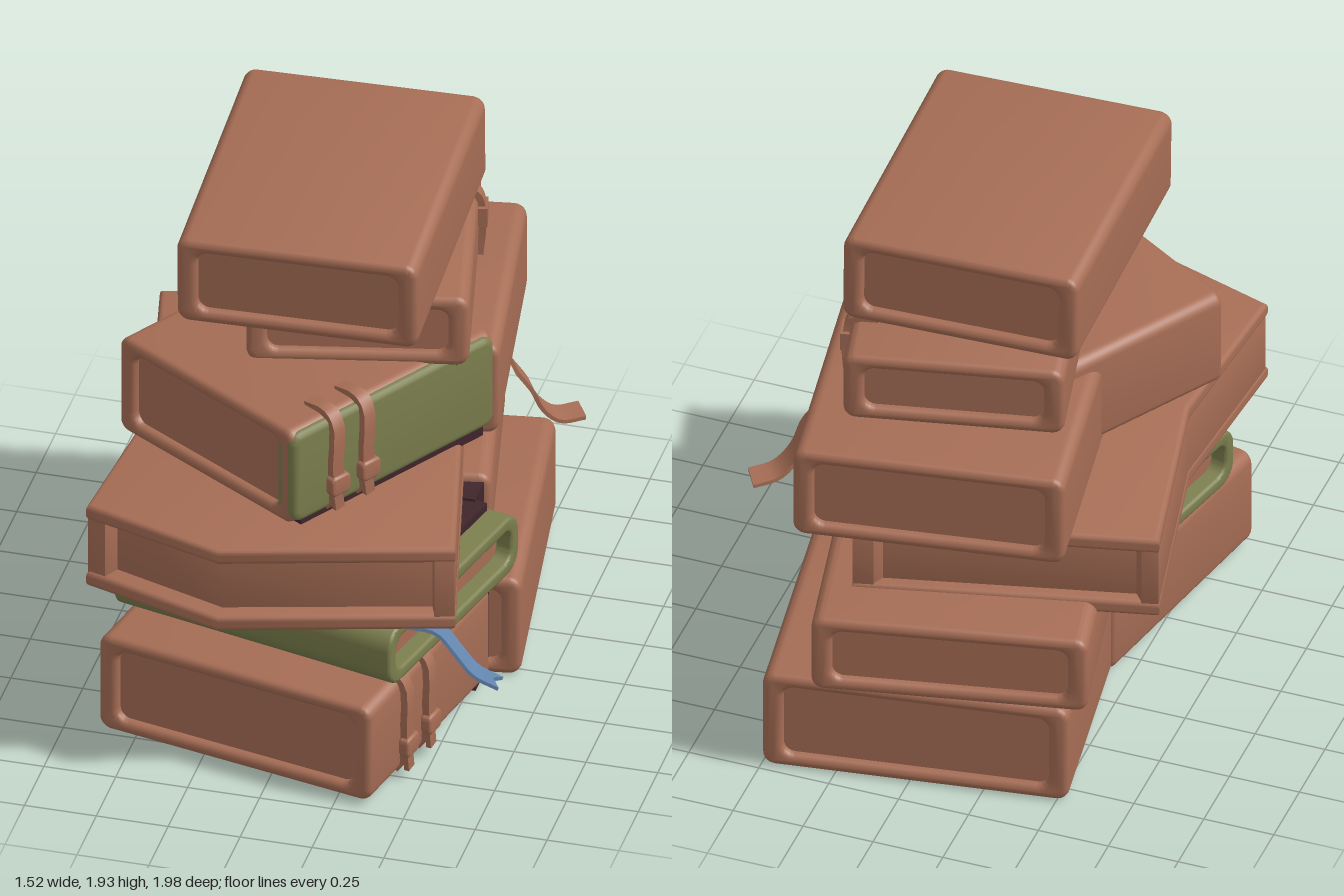
import * as THREE from 'three';
import { toCreasedNormals } from 'three/addons/utils/BufferGeometryUtils.js';

const material = (name, color) => {
  const m = new THREE.MeshStandardMaterial({ color });
  m.name = name;
  return m;
};

// Rounded rectangle outline, usable as a shape or a hole
function roundRect(Type, w, h, r) {
  const s = new Type(), x = w / 2, y = h / 2, k = Math.PI / 2;
  s.absarc(x - r, y - r, r, 0, k);
  s.absarc(-x + r, y - r, r, k, 2 * k);
  s.absarc(-x + r, -y + r, r, 2 * k, 3 * k);
  s.absarc(x - r, -y + r, r, 3 * k, 4 * k);
  s.closePath();
  return s;
}

// Bevelled extrusion that keeps its outer size and is centred on its depth
function extrude(shape, depth, bevel) {
  const g = new THREE.ExtrudeGeometry(shape, {
    depth: depth - 2 * bevel, bevelEnabled: true, bevelSize: bevel, bevelThickness: bevel,
    bevelOffset: -bevel, bevelSegments: 3, curveSegments: 5,
  });
  g.translate(0, 0, -depth / 2 + bevel);
  return toCreasedNormals(g, 0.7);
}

export function createModel() {
  const leather = material('brownLeather', 0xa66d55);
  const green = material('greenCloth', 0x7a7d4c);
  const blue = material('blueRibbon', 0x6385ad);
  const dark = material('darkGap', 0x40262b);
  const model = new THREE.Group();
  model.name = 'bookPile';

  const add = (parent, name, geo, mat, x = 0, y = 0, z = 0) => {
    const m = new THREE.Mesh(geo, mat);
    m.name = name;
    m.position.set(x, y, z);
    parent.add(m);
    return m;
  };
  const block = (parent, name, mat, w, h, d, x = 0, y = 0, z = 0) =>
    add(parent, name, new THREE.BoxGeometry(w, h, d), mat, x, y, z);

  const placed = (name, x, z, y0, y1, turn) => {
    const g = new THREE.Group();
    g.name = name;
    g.position.set(x, (y0 + y1) / 2, z);
    g.rotation.y = turn;
    model.add(g);
    return g;
  };

  // Closed leather book: a soft cover tube with sunken panels at both ends
  function book(name, x, z, w, d, y0, y1, turn) {
    const g = placed(name, x, z, y0, y1, turn), h = y1 - y0, m = 0.05;
    const shape = roundRect(THREE.Shape, w, h, 0.045);
    shape.holes.push(roundRect(THREE.Path, w - 2 * m - 0.04, h - 2 * m, 0.04));
    add(g, 'cover', extrude(shape, d, 0.022), leather);
    block(g, 'sunkenPanels', leather, w - 2 * m, h - 1.6 * m, d - 0.06);
    return g;
  }

  // Flat band swept along a curve; the tail can be notched
  function band(parent, name, mat, points, across, thick, notch = 0) {
    const n = 14;
    const curve = new THREE.CatmullRomCurve3(points.map(p => new THREE.Vector3(...p)));
    const side = new THREE.Vector3(...across);
    const geo = new THREE.BoxGeometry(1, 1, 1, 2, 1, n);
    const pos = geo.attributes.position, p = new THREE.Vector3();
    for (let i = 0; i < pos.count; i++) {
      const a = pos.getX(i), b = pos.getY(i);
      let t = pos.getZ(i) + 0.5;
      if (t > 0.99 && Math.abs(a) < 0.1) t -= notch;
      const normal = curve.getTangent(t).cross(side).normalize();
      p.copy(curve.getPoint(t)).addScaledVector(side, a).addScaledVector(normal, b * thick);
      pos.setXYZ(i, p.x, p.y, p.z);
    }
    add(parent, name, toCreasedNormals(geo, 0.7), mat);
  }

  // Pair of buckled straps around a book's right-hand face
  function straps(g, w, h, places) {
    const x = w / 2, y = h / 2;
    for (const z of places) {
      band(g, 'strap', leather, [[x - 0.12, y, z], [x - 0.03, y + 0.008, z], [x + 0.01, y - 0.03, z],
        [x + 0.02, 0, z + 0.012], [x + 0.012, -y + 0.06, z], [x - 0.02, -y + 0.01, z]], [0, 0, 0.05], 0.025);
      const buckle = add(g, 'buckle', extrude(roundRect(THREE.Shape, 0.085, 0.075, 0.02), 0.04, 0.01),
        leather, x + 0.025, -y * 0.38, z + 0.005);
      buckle.rotation.set(0, Math.PI / 2, 0);
      const tip = block(g, 'strapTip', leather, 0.018, 0.09, 0.04, x + 0.025, -y * 0.66, z + 0.01);
      tip.rotation.x = 0.15;
    }
  }

  // Bottom layer
  const low = book('lowerFrontBook', -0.035, 0.42, 1.03, 0.88, 0.015, 0.385, -0.215);
  straps(low, 1.03, 0.37, [0.2, 0.04]);
  book('lowerBackBook', 0.055, -0.39, 1.05, 1.03, 0, 0.38, 0.15);
  block(model, 'lowerGap', dark, 0.83, 0.34, 0.24, 0.12, 0.19, 0.08);

  // Green book: a looped cover around inset pages, spine to the front
  const cloth = placed('greenBook', 0, 0.27, 0.39, 0.612, -0.24);
  const loop = roundRect(THREE.Shape, 0.9, 0.222, 0.075);
  loop.holes.push(roundRect(THREE.Path, 0.8, 0.125, 0.045));
  add(cloth, 'clothCover', extrude(loop, 1.06, 0.012), green).rotation.y = Math.PI / 2;
  block(cloth, 'pages', leather, 0.94, 0.15, 0.82);
  block(cloth, 'gapAbove', dark, 0.88, 0.05, 0.78, 0, 0.115, 0);
  band(model, 'blueBookmark', blue, [[0.4, 0.49, 0.55], [0.5, 0.48, 0.55], [0.58, 0.42, 0.58],
    [0.64, 0.36, 0.59], [0.73, 0.33, 0.6]], [0.01, 0.02, 0.1], 0.012, 0.1);
  book('secondBackBook', -0.05, -0.46, 0.94, 0.9, 0.38, 0.675, 0.21);
  block(model, 'secondGap', dark, 0.76, 0.26, 0.2, 0.1, 0.52, -0.1);

  // Long bent book: two cover boards and a block sunken at front and back
  const long = new THREE.Group();
  long.name = 'longBook';
  model.add(long);
  const slab = (name, pts, y0, y1, bevel) => {
    const s = new THREE.Shape(pts.map(([x, z]) => new THREE.Vector2(x, -z)));
    add(long, name, extrude(s, y1 - y0, bevel), leather, 0, (y0 + y1) / 2, 0).rotation.x = -Math.PI / 2;
  };
  const boards = [[-0.65, 0.83], [-0.15, 0.99], [0.62, 0.77], [0.25, -0.78], [-0.76, -0.53], [-0.6, 0.2]];
  slab('lowerBoard', boards, 0.63, 0.69, 0.02);
  slab('upperBoard', boards, 0.895, 0.955, 0.02);
  slab('pageBlock', [[-0.645, 0.82], [-0.58, 0.84], [-0.55, 0.79], [-0.15, 0.925], [0.53, 0.735],
    [0.55, 0.785], [0.615, 0.765], [0.248, -0.772], [0.18, -0.755], [0.16, -0.715], [-0.67, -0.505],
    [-0.7, -0.54], [-0.755, -0.525], [-0.596, 0.2]], 0.66, 0.92, 0.004);

  // Middle layer with the green-sided strapped book
  const mid = book('strappedBook', -0.06, 0.18, 0.85, 0.93, 0.965, 1.335, -0.55);
  add(mid, 'greenSide', extrude(roundRect(THREE.Shape, 0.93, 0.35, 0.045), 0.09, 0.022), green,
    0.39, 0, 0).rotation.y = Math.PI / 2;
  straps(mid, 0.87, 0.37, [0.28, 0.14]);
  block(mid, 'gapBelow', dark, 0.8, 0.05, 0.84, 0.02, -0.185, 0);
  book('middleBackBook', 0.035, -0.365, 0.93, 0.91, 0.93, 1.28, 0.16);
  band(model, 'leatherBookmark', leather, [[0.53, 1, -0.31], [0.58, 0.93, -0.32], [0.61, 0.84, -0.35],
    [0.66, 0.78, -0.39], [0.73, 0.77, -0.45]], [0.05, 0, 0.085], 0.014);

  // Upper books
  const upper = book('upperBook', 0.05, -0.155, 0.75, 0.92, 1.31, 1.575, 0.22);
  upper.rotation.order = 'YXZ';
  upper.rotation.x = -0.02;
  block(upper, 'gapBelow', dark, 0.66, 0.07, 0.8, 0, -0.13, 0);
  band(upper, 'strap', leather, [[0.28, 0.13, -0.24], [0.365, 0.135, -0.24], [0.385, 0.1, -0.24],
    [0.39, 0, -0.25], [0.38, -0.11, -0.25]], [0, 0, 0.05], 0.025);
  block(upper, 'buckle', leather, 0.035, 0.07, 0.08, 0.39, 0.05, -0.24);
  const top = book('topBook', -0.015, 0.02, 0.83, 1.05, 1.58, 1.91, 0.04);
  top.rotation.order = 'YXZ';
  top.rotation.x = 0.036;

  return model;
}
